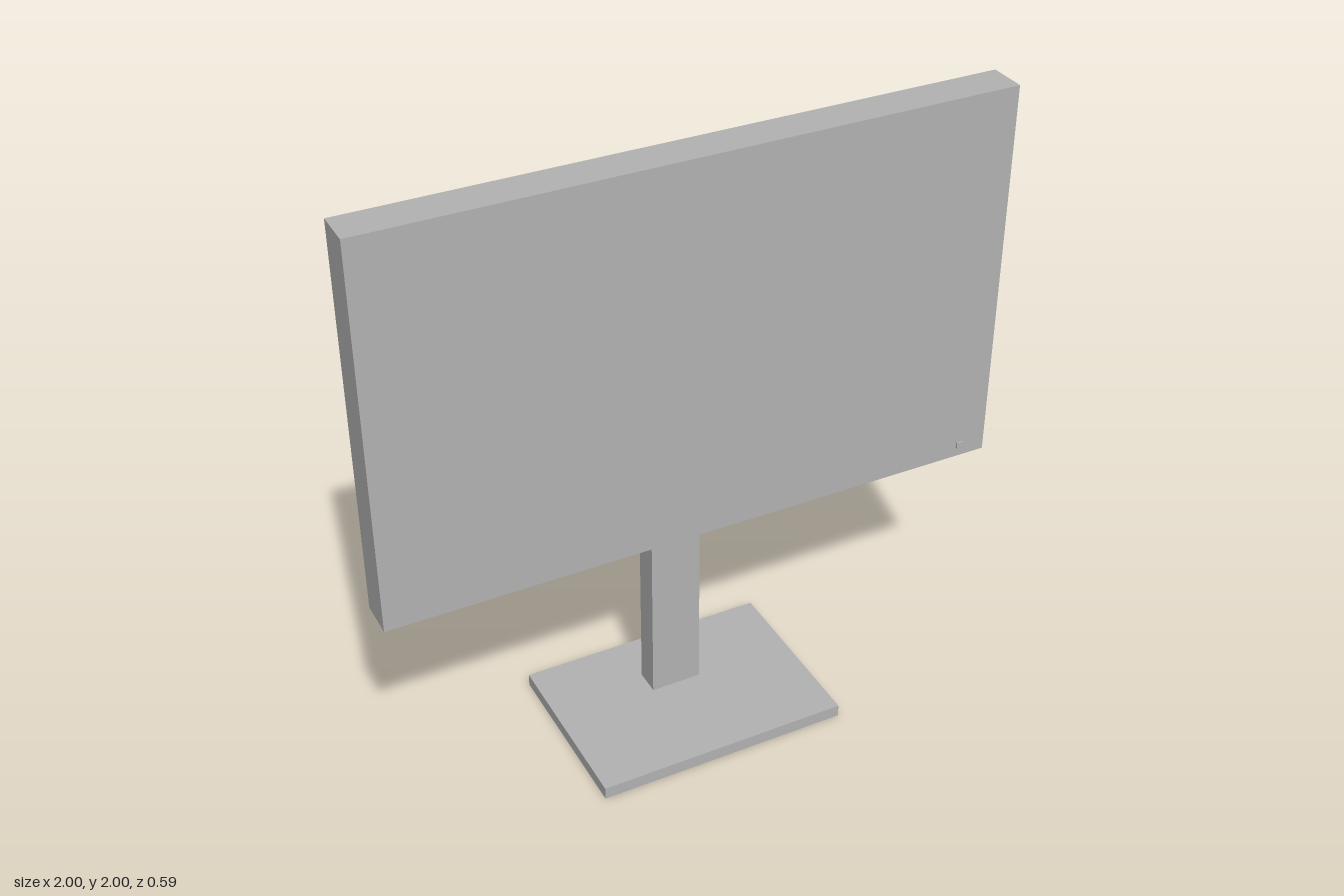
import * as THREE from 'three';

export function createModel() {
  const model = new THREE.Group();
  model.name = 'monitor';
  const grey = new THREE.MeshStandardMaterial({ color: 0xb2b2b2 });
  grey.name = 'plain grey';

  // Box given by its extents along each axis
  function addBox(name, [x0, x1], [y0, y1], [z0, z1]) {
    const mesh = new THREE.Mesh(new THREE.BoxGeometry(x1 - x0, y1 - y0, z1 - z0), grey);
    mesh.position.set((x0 + x1) / 2, (y0 + y1) / 2, (z0 + z1) / 2);
    mesh.name = name;
    model.add(mesh);
  }

  // Stand
  addBox('base', [-0.413, 0.413], [0, 0.041], [-0.294, 0.294]);
  addBox('standColumn', [-0.083, 0.083], [0.041, 1.14], [-0.128, -0.043]);

  // Display panel with the electronics housing behind it
  addBox('screenPanel', [-1, 1], [0.763, 2], [0.01, 0.132]);
  addBox('rearHousing', [-0.515, 0.515], [1.036, 1.727], [-0.119, 0.01]);

  // Power button at the lower corner of the screen
  addBox('powerButton', [0.898, 0.922], [0.793, 0.814], [0.125, 0.138]);

  return model;
}
